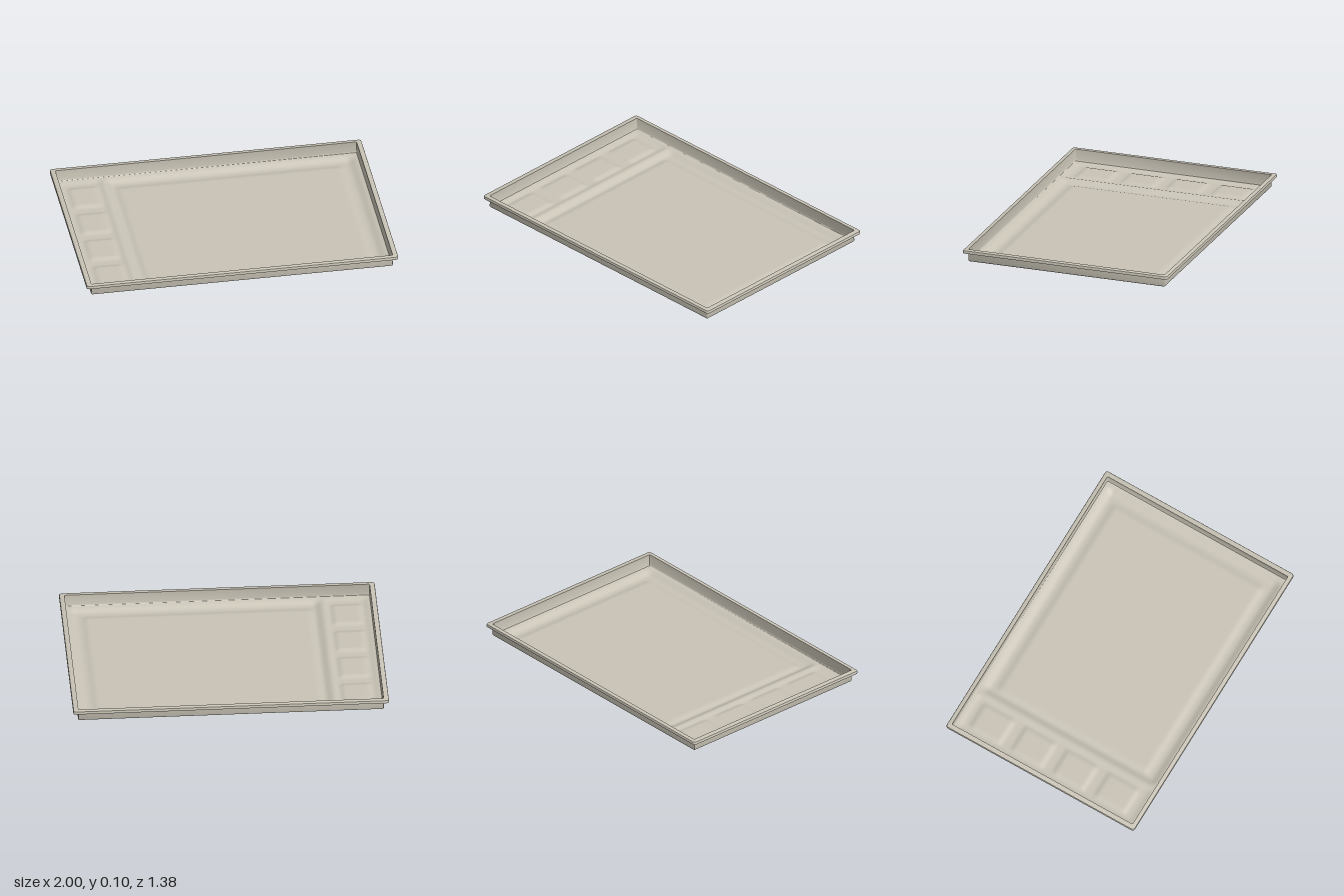
import * as THREE from 'three';
import { toCreasedNormals } from 'three/addons/utils/BufferGeometryUtils.js';

const CORNER_STEPS = 4;
const step = THREE.MathUtils.smoothstep;

// Closed loop of a rounded rectangle: half width, half depth, corner radius, height
function loop([hx, hz, r, y]) {
  const points = [];
  for (let c = 0; c < 4; c++) {
    const sx = c === 0 || c === 3 ? 1 : -1;
    const sz = c < 2 ? 1 : -1;
    for (let i = 0; i <= CORNER_STEPS; i++) {
      const a = (c + i / CORNER_STEPS) * Math.PI / 2;
      points.push([sx * (hx - r) + r * Math.cos(a), y, sz * (hz - r) + r * Math.sin(a)]);
    }
  }
  return points;
}

// Skin a sheet through a list of loops
function loft(sections) {
  const loops = sections.map(loop);
  const n = loops[0].length;
  const index = [];
  for (let s = 0; s < loops.length - 1; s++) {
    for (let i = 0; i < n; i++) {
      const a = s * n + i, b = s * n + (i + 1) % n;
      index.push(a, a + n, b, b, a + n, b + n);
    }
  }
  const geometry = new THREE.BufferGeometry();
  geometry.setAttribute('position', new THREE.Float32BufferAttribute(loops.flat(2), 3));
  geometry.setIndex(index);
  return toCreasedNormals(geometry, 0.7);
}

// 1 inside a rectangle, fading to 0 over a soft edge
function softBox(x, z, x0, x1, z0, z1, edge) {
  return step(x, x0, x0 + edge) * (1 - step(x, x1 - edge, x1)) *
         step(z, z0, z0 + edge) * (1 - step(z, z1 - edge, z1));
}

// Moulded floor: sloped edge, gutter, raised centre, ridge and side shelf with four pads
function floorHeight(x, z) {
  const basin = softBox(x, z, -0.67, 0.96, -0.655, 0.655, 0.065);
  const plateau = softBox(x, z, -0.62, 0.88, -0.575, 0.575, 0.055);
  const shelf = softBox(x, z, -0.96, -0.665, -0.655, 0.655, 0.045);
  let y = 0.022 - 0.022 * basin + 0.01 * plateau - 0.009 * shelf;
  for (let i = 0; i < 4; i++) {
    const cz = -0.46 + i * 0.305;
    y += 0.01 * softBox(x, z, -0.92, -0.7, cz - 0.13, cz + 0.13, 0.04);
  }
  return y;
}

export function createModel() {
  const tray = new THREE.Group();
  tray.name = 'tray';
  const plastic = new THREE.MeshStandardMaterial({ color: 0xc9c4b6, side: THREE.DoubleSide });
  plastic.name = 'warm grey plastic';
  const add = (name, geometry) => {
    const mesh = new THREE.Mesh(geometry, plastic);
    mesh.name = name;
    tray.add(mesh);
  };

  // Floor
  const floor = new THREE.PlaneGeometry(1.92, 1.31, 160, 110).rotateX(-Math.PI / 2);
  const p = floor.attributes.position;
  for (let i = 0; i < p.count; i++) p.setY(i, floorHeight(p.getX(i), p.getZ(i)));
  floor.computeVertexNormals();
  add('floor', floor);

  // Side walls with a rounded foot
  add('walls', loft([
    [0.96, 0.655, 0.002, 0.022],
    [0.966, 0.661, 0.006, 0.025],
    [0.969, 0.664, 0.008, 0.032],
    [0.967, 0.662, 0.006, 0.105],
  ]));

  // Rim folded outward and down
  add('rim', loft([
    [0.967, 0.662, 0.006, 0.105],
    [0.993, 0.683, 0.012, 0.105],
    [0.998, 0.688, 0.015, 0.103],
    [1, 0.69, 0.016, 0.098],
    [1, 0.69, 0.016, 0.085],
    [0.994, 0.684, 0.012, 0.085],
    [0.994, 0.684, 0.012, 0.099],
    [0.968, 0.663, 0.006, 0.099],
  ]));

  return tray;
}
